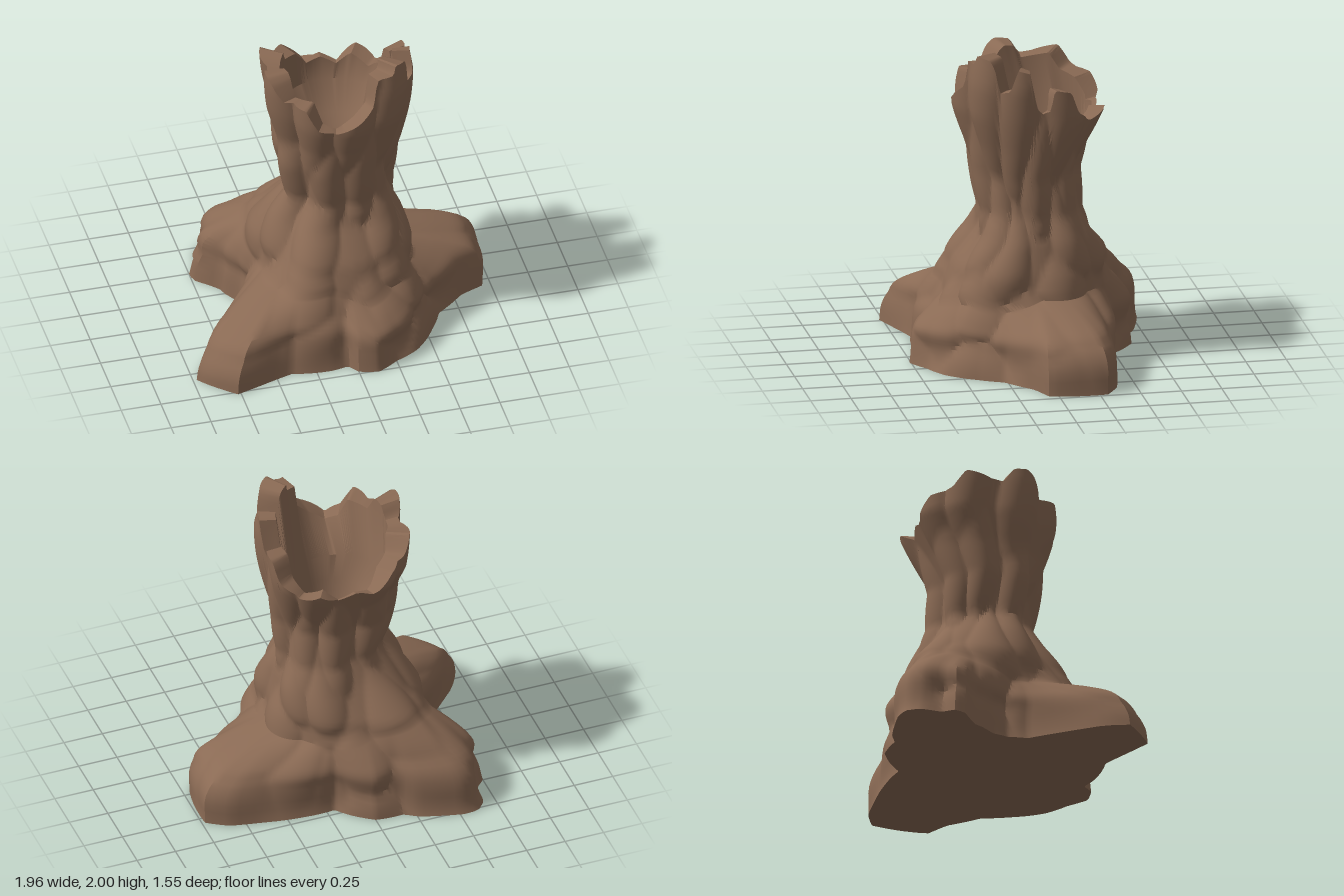
import * as THREE from 'three';
import { toCreasedNormals } from 'three/addons/utils/BufferGeometryUtils.js';

const bark = new THREE.MeshStandardMaterial({ color: 0x8a6a54 });
const COLS = 192, TAU = Math.PI * 2;

// Ground outline of the roots, x and z in turn
const OUTLINE = [
  [.98, -.1], [.95, .06], [.8, .12], [.62, .27], [.54, .42], [.4, .6], [.25, .68], [.12, .76],
  [0, .73], [-.05, .66], [-.15, .68], [-.4, .65], [-.5, .68], [-.77, .77], [-.85, .7], [-.98, .56],
  [-.9, .42], [-.55, .07], [-.52, -.05], [-.53, -.15], [-.59, -.25], [-.61, -.31], [-.74, -.43],
  [-.75, -.5], [-.69, -.56], [-.68, -.7], [-.62, -.77], [-.53, -.78], [-.25, -.7], [-.18, -.65],
  [0, -.64], [.12, -.55], [.2, -.46], [.4, -.46], [.66, -.42], [.85, -.38], [.98, -.3]];
// Stored as angle and 1 / radius, which keeps the sides of the roots straight
const footprint = OUTLINE
  .map(([x, z]) => [(Math.atan2(z, x) + TAU) % TAU / TAU * 360, 1 / Math.hypot(x, z)])
  .sort((a, b) => a[0] - b[0]);

// Height by angle of the steep outer edge of the roots
const EDGE = [[5, .2], [25, .14], [80, .13], [120, .15], [148, .09], [180, .18], [230, .14],
  [290, .18], [330, .2], [350, .23]];

// Height by angle where the roots meet the trunk
const SHOULDER = [[0, .46], [30, .38], [50, .42], [80, .36], [105, .46], [145, .45], [180, .42],
  [215, .52], [235, .57], [260, .52], [290, .46], [330, .46]];

// Height of the broken rim by angle in degrees
const RIM = [[0, 1.64], [5, 1.68], [9, 1.91], [19, 1.93], [25, 1.8], [34, 1.78], [38, 1.93], [42, 1.98],
  [54, 2], [57, 1.94], [70, 1.93], [74, 1.76], [88, 1.67], [105, 1.59], [118, 1.62], [128, 1.76],
  [150, 1.74], [160, 1.84], [166, 1.87], [177, 1.86], [183, 1.78], [200, 1.8], [213, 1.82], [222, 1.72],
  [240, 1.69], [255, 1.57], [270, 1.59], [285, 1.54], [300, 1.62], [318, 1.56], [333, 1.64],
  [338, 1.78], [350, 1.8], [354, 1.66]];

// Trunk sections: y, centre x, radius x, centre z, radius z
const TRUNK = [[.36, 0, .51, .02, .56], [.46, 0, .495, .02, .54], [.6, .01, .475, .01, .5],
  [.8, .035, .41, 0, .37], [.95, .05, .34, .01, .305], [1.2, .03, .37, .03, .325],
  [1.4, .045, .395, .01, .385], [1.6, .045, .44, -.005, .46], [1.8, .05, .475, .01, .47], [2, .05, .49, .02, .47]];

// Walls of the hollow in the same terms, ending in a round floor
const PIT = [[1.42, .04, .31, -.08, .29], [1.25, .04, .225, -.03, .22], [1.08, .04, .16, 0, .14], [1.08, .04, 0, 0, 0]];

// Linear lookup in rows sorted by their first number
function lookup(rows, v) {
  let k = 0;
  while (k < rows.length - 2 && rows[k + 1][0] < v) k++;
  const a = rows[k], b = rows[k + 1];
  const t = THREE.MathUtils.clamp((v - a[0]) / (b[0] - a[0]), 0, 1);
  return a.map((n, i) => n + (b[i] - n) * t);
}
function lookupAngle(rows, deg) {
  const first = rows[0], last = rows[rows.length - 1];
  return lookup([[last[0] - 360, last[1]], ...rows, [first[0] + 360, first[1]]], deg)[1];
}

// Rounded bark lumps with creases between them, from jittered cell centres
let seed = 11;
const rnd = () => (seed = (seed * 16807) % 2147483647) / 2147483647;
const cells = [];
[[.12, 11], [.36, 10], [.68, 8], [1.1, 8], [1.58, 9]].forEach(([y, n]) => {
  for (let i = 0; i < n; i++) cells.push([(i + rnd() * .7) / n * TAU, y + (rnd() - .5) * .3]);
});
function bump(angle, y) {
  const stretch = THREE.MathUtils.lerp(.8, .4, THREE.MathUtils.smoothstep(y, .4, 1.2));
  let d = 9;
  for (const [a, cy] of cells) {
    const da = Math.abs(angle - a), w = Math.min(da, TAU - da) * .5, h = (y - cy) * stretch;
    d = Math.min(d, w * w + h * h);
  }
  return .025 - Math.min(d * 1.9, .07);
}

// One column of the stump, from under the base, up the bark, over the rim and into the hollow
function column(angle) {
  const c = Math.cos(angle), s = Math.sin(angle), deg = angle / TAU * 360;
  const foot = 1 / lookupAngle(footprint, deg), edge = lookupAngle(EDGE, deg);
  const top = lookupAngle(SHOULDER, deg), rim = lookupAngle(RIM, deg);
  const trunkAt = y => {
    const [, cx, rx, cz, rz] = lookup(TRUNK, y);
    // Buttresses above the back and front roots
    const swell = 1 - THREE.MathUtils.smoothstep(y, .5, .95);
    const out = swell * (.1 * Math.exp(-(((deg - 228) / 22) ** 2)) + .04 * Math.exp(-(((deg - 128) / 20) ** 2)));
    return [cx + (rx + out) * c, cz + (rz + out) * s];
  };
  const base = Math.hypot(...trunkAt(top));
  const rootProfile = new THREE.SplineCurve([
    [foot, 0], [foot - .03, edge], [foot + (base - foot) * .2, edge + (top - edge) * .4],
    [foot + (base - foot) * .55, edge + (top - edge) * .7], [base, top]
  ].map(p => new THREE.Vector2(...p)));
  const pts = [[0, 0, 0], [foot * c, 0, foot * s]];
  for (let j = 1; j <= 18; j++) {
    const { x, y } = rootProfile.getPoint(j / 18);
    const r = x + bump(angle, y) * Math.min(1, y * 6);
    pts.push([r * c, y, r * s]);
  }
  for (let j = 1; j <= 36; j++) {
    const y = top + (rim - top) * j / 36, [x, z] = trunkAt(y), b = bump(angle, y);
    pts.push([x + b * c, y, z + b * s]);
  }
  // Tall shards of the rim are thicker than the low parts
  const [x, z] = trunkAt(rim), wall = .07 + Math.max(0, rim - 1.55) * .22;
  pts.push([x - wall * c, rim - .01, z - wall * s]);
  PIT.forEach(([y, cx, rx, cz, rz]) => pts.push([cx + rx * c, y, cz + rz * s]));
  return pts;
}

function stumpGeometry() {
  const pos = [], idx = [];
  let rows = 0;
  for (let i = 0; i < COLS; i++) {
    const pts = column(i / COLS * TAU);
    rows = pts.length;
    pts.forEach(p => pos.push(...p));
  }
  for (let i = 0; i < COLS; i++) for (let j = 0; j < rows - 1; j++) {
    const a = i * rows + j, b = (i + 1) % COLS * rows + j;
    if (j < rows - 2) idx.push(a, a + 1, b + 1);
    if (j > 0) idx.push(a, b + 1, b);
  }
  const g = new THREE.BufferGeometry();
  g.setAttribute('position', new THREE.Float32BufferAttribute(pos, 3));
  g.setIndex(idx);
  return toCreasedNormals(g, .6);
}

export function createModel() {
  const group = new THREE.Group();
  group.name = 'treeStump';
  const stump = new THREE.Mesh(stumpGeometry(), bark);
  stump.name = 'trunkAndRoots';
  group.add(stump);
  return group;
}
